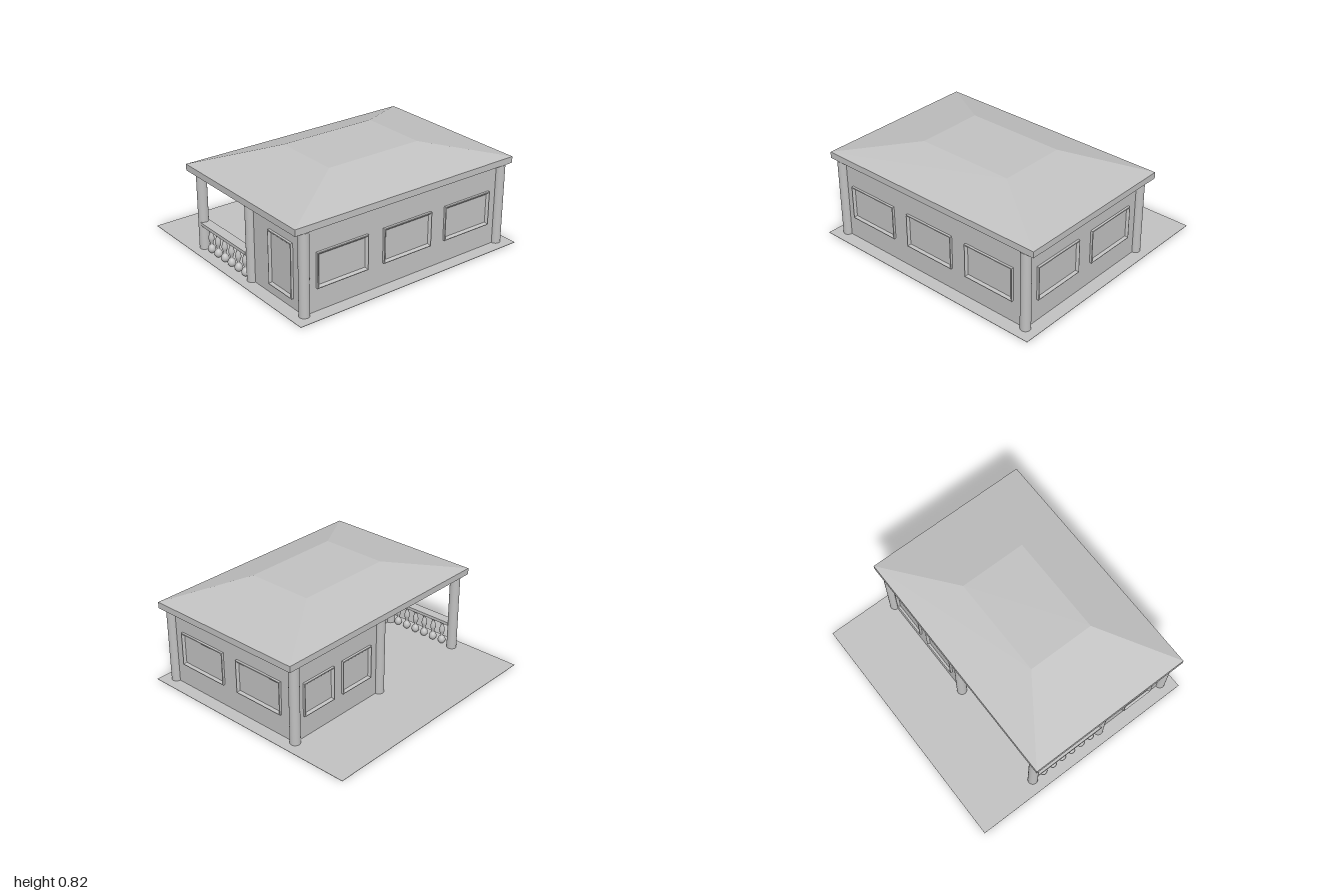
import * as THREE from 'three';

const stone = new THREE.MeshStandardMaterial({ color: 0xc0c0c0 });
stone.name = 'pale grey';

function add(parent, name, geometry, x = 0, y = 0, z = 0) {
  const mesh = new THREE.Mesh(geometry, stone);
  mesh.name = name;
  mesh.position.set(x, y, z);
  parent.add(mesh);
  return mesh;
}

// Box given by its min and max along each axis
function block(parent, name, [x0, x1], [y0, y1], [z0, z1]) {
  return add(parent, name, new THREE.BoxGeometry(x1 - x0, y1 - y0, z1 - z0),
    (x0 + x1) / 2, (y0 + y1) / 2, (z0 + z1) / 2);
}

// Raised rectangular frame whose inner edge slopes back to the pane, facing +z
function frameGeometry(w, h) {
  const profile = [[0, 0], [0, 0.018], [0.006, 0.02], [0.022, 0.003]]; // inset, depth
  const corners = [[-1, -1], [1, -1], [1, 1], [-1, 1]];
  const point = (i, j) => {
    const [sx, sy] = corners[i % 4], [inset, depth] = profile[j];
    return [sx * (w / 2 - inset), sy * (h / 2 - inset), depth];
  };
  const pos = [];
  for (let j = 0; j < profile.length - 1; j++) {
    for (let i = 0; i < 4; i++) {
      const a = point(i, j), b = point(i + 1, j), c = point(i + 1, j + 1), d = point(i, j + 1);
      pos.push(...a, ...b, ...c, ...a, ...c, ...d);
    }
  }
  const g = new THREE.BufferGeometry();
  g.setAttribute('position', new THREE.Float32BufferAttribute(pos, 3));
  g.computeVertexNormals();
  return g;
}

function windowUnit(parent, name, w, h, x, y, z, turn) {
  const g = new THREE.Group();
  g.name = name;
  add(g, 'windowFrame', frameGeometry(w, h));
  add(g, 'windowPane', new THREE.PlaneGeometry(w - 0.044, h - 0.044), 0, 0, 0.003);
  g.position.set(x, y, z);
  g.rotation.y = turn;
  parent.add(g);
}

export function createModel() {
  const house = new THREE.Group();
  house.name = 'house';
  const X = 0.895, FRONT = 0.84, BACK = -0.415, PORCH = 0.22, EAVE = 0.635;

  // Ground plate
  block(house, 'ground', [-1, 1], [0, 0.003], [-0.95, 0.945]);

  // L-shaped walls around the open porch corner
  const plan = new THREE.Shape([
    [-X, -FRONT], [X, -FRONT], [X, -BACK], [0, -BACK], [0, -PORCH], [-X, -PORCH],
  ].map(([x, y]) => new THREE.Vector2(x, y)));
  const walls = new THREE.ExtrudeGeometry(plan, { depth: EAVE, bevelEnabled: false });
  walls.rotateX(-Math.PI / 2);
  add(house, 'walls', walls);

  // Round columns at every corner
  for (const [x, z] of [[X, FRONT], [-X, FRONT], [X, BACK], [0, BACK], [-X, BACK], [-X, PORCH]]) {
    add(house, 'column', new THREE.CylinderGeometry(0.039, 0.039, EAVE, 32), x, EAVE / 2, z);
  }

  // Eave slab and hipped roof with a flat top
  block(house, 'eave', [-0.985, 0.985], [EAVE, 0.685], [-0.47, 0.873]);
  let roof = new THREE.BoxGeometry(1.97, 0.138, 1.343);
  const p = roof.attributes.position;
  for (let i = 0; i < p.count; i++) {
    if (p.getY(i) > 0) p.setXYZ(i, Math.sign(p.getX(i)) * 0.402, p.getY(i), Math.sign(p.getZ(i)) * 0.27);
  }
  roof = roof.toNonIndexed();
  roof.computeVertexNormals();
  add(house, 'roof', roof, 0, 0.754, 0.2015);

  // Windows
  const Y = 0.316, H = 0.27;
  for (const x of [-0.576, 0, 0.568]) windowUnit(house, 'frontWindow', 0.437, H, x, Y, FRONT, 0);
  for (const z of [0.508, -0.07]) windowUnit(house, 'sideWindow', 0.437, H, X, Y, z, Math.PI / 2);
  for (const x of [0.657, 0.263]) windowUnit(house, 'backWindow', 0.305, H, x, Y, BACK, Math.PI);
  windowUnit(house, 'porchWindow', 0.585, H, -0.467, Y, PORCH, Math.PI);
  windowUnit(house, 'tallWindow', 0.27, 0.42, -X, 0.29, 0.585, -Math.PI / 2);

  // Door with a knob, opening on the porch
  block(house, 'door', [-0.035, 0], [0, 0.52], [-0.175, 0.05]);
  const knob = add(house, 'doorKnobStem', new THREE.CylinderGeometry(0.005, 0.005, 0.03, 12), -0.045, 0.22, 0.015);
  knob.rotation.z = Math.PI / 2;
  add(house, 'doorKnob', new THREE.SphereGeometry(0.013, 16, 12), -0.062, 0.22, 0.015);

  // Porch balustrade
  block(house, 'handrail', [-X - 0.04, -X + 0.04], [0.203, 0.228], [BACK + 0.02, PORCH - 0.02]);
  const curve = new THREE.SplineCurve([
    [0.012, 0], [0.026, 0.015], [0.031, 0.034], [0.024, 0.054], [0.012, 0.068], [0.013, 0.085],
    [0.022, 0.115], [0.018, 0.145], [0.011, 0.17], [0.02, 0.188], [0.022, 0.204],
  ].map(([r, y]) => new THREE.Vector2(r, y)));
  const baluster = new THREE.LatheGeometry(curve.getPoints(30), 20);
  for (let i = 0; i < 6; i++) add(house, 'baluster', baluster, -X, 0, -0.315 + i * 0.09);

  return house;
}
